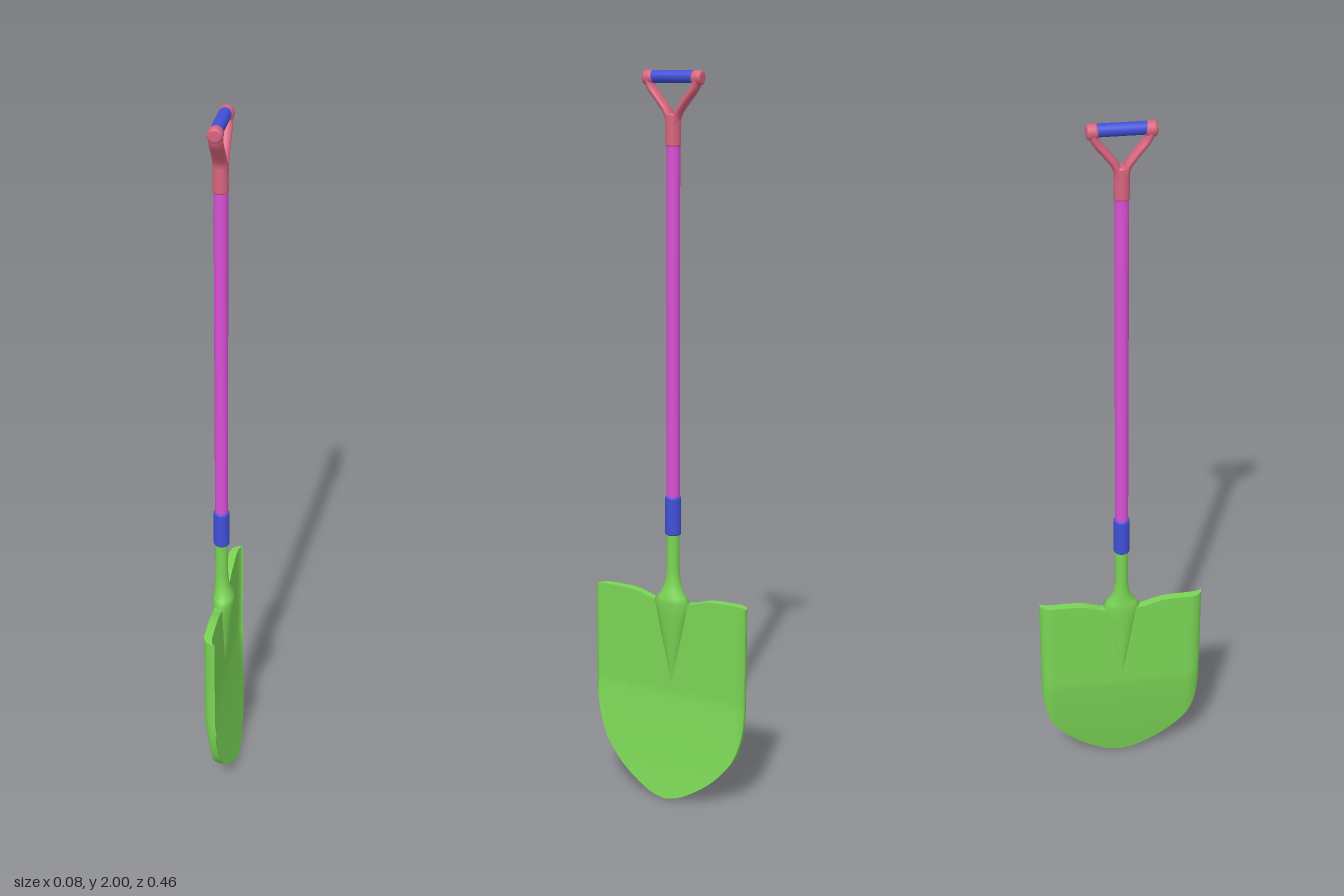
import * as THREE from 'three';
import { ParametricGeometry } from 'three/addons/geometries/ParametricGeometry.js';
import { mergeGeometries } from 'three/addons/utils/BufferGeometryUtils.js';

const AXIS = -0.017; // x of the shaft
const mat = (color) => new THREE.MeshStandardMaterial({ color });
const green = mat(0x7ad455), magenta = mat(0xd850d4), blue = mat(0x4050d8), pink = mat(0xd8647e);

function add(parent, name, geometry, material, x = 0, y = 0, z = 0) {
  const mesh = new THREE.Mesh(geometry, material);
  mesh.name = name;
  mesh.position.set(x, y, z);
  parent.add(mesh);
  return mesh;
}

// Closed round bar with softened ends, centred on its own y axis
function roundedBar(radius, length, soft) {
  const h = length / 2, pts = [new THREE.Vector2(0, -h)];
  for (const end of [-1, 1]) {
    for (let i = 0; i <= 5; i++) {
      const a = ((end < 0 ? i : 5 - i) / 5) * Math.PI / 2;
      pts.push(new THREE.Vector2(radius - soft + soft * Math.sin(a), end * (h - soft + soft * Math.cos(a))));
    }
  }
  pts.push(new THREE.Vector2(0, h));
  return new THREE.LatheGeometry(pts, 24);
}

// Half outline of the blade from the tip to the straight side (z, y)
const outline = new THREE.SplineCurve([
  [0, 0.003], [0.045, 0.014], [0.1, 0.045], [0.15, 0.085], [0.195, 0.14], [0.218, 0.195], [0.232, 0.265],
].map((p) => new THREE.Vector2(...p)));

// Point in the blade: a across (-1..1), t from top to bottom, w from back to front
function bladePoint(a, t, w, target) {
  const edge = outline.getPoint(Math.min(1, Math.abs(a)));
  const z = edge.x;
  const top = 0.595 - 0.02 * Math.exp(-(((z - 0.045) / 0.05) ** 2));
  const y = THREE.MathUtils.lerp(top, edge.y, t);
  const k = THREE.MathUtils.clamp((z - 0.195) / 0.037, 0, 1);
  const curl = 1 - Math.sqrt(1 - k * k);
  const bend = 0.045 * Math.pow(Math.max(0, (0.31 - y) / 0.31), 1.2);
  const x = w ? -0.007 + 0.012 * curl : -0.03 + 0.03 * curl;
  return target.set(x + bend, y, Math.sign(a) * z);
}

// Front, back and rim of the dished blade
function bladeGeometry() {
  const sheet = (f, nu, nv) => new ParametricGeometry((u, v, p) => bladePoint(...f(u, v), p), nu, nv);
  return mergeGeometries([
    sheet((u, v) => [2 * u - 1, v, 1], 64, 28),
    sheet((u, v) => [1 - 2 * u, v, 0], 64, 28),
    sheet((u, v) => [2 * u - 1, 0, Math.round(v)], 64, 1),
    sheet((u, v) => [1 - 2 * u, 1, Math.round(v)], 64, 1),
    sheet((u, v) => [1, 1 - v, Math.round(u)], 1, 28),
    sheet((u, v) => [-1, v, Math.round(u)], 1, 28),
  ]);
}

// Neck that flares into the blade and fades to a point: rows of [y, centre x, half x, half z]
function neckGeometry() {
  const rows = [
    [0.78, -0.017, 0.018, 0.018], [0.67, -0.017, 0.018, 0.018], [0.635, -0.016, 0.02, 0.021],
    [0.61, -0.013, 0.025, 0.03], [0.593, -0.011, 0.029, 0.04], [0.58, -0.011, 0.031, 0.052],
    [0.54, -0.012, 0.029, 0.044], [0.48, -0.014, 0.024, 0.033], [0.41, -0.017, 0.018, 0.019],
    [0.33, -0.018, 0.01, 0.004],
  ];
  const g = new THREE.CylinderGeometry(1, 1, 1, 32, rows.length - 1, true);
  const p = g.attributes.position;
  for (let i = 0; i < p.count; i++) {
    const [y, cx, rx, rz] = rows[Math.round((0.5 - p.getY(i)) * (rows.length - 1))];
    p.setXYZ(i, cx + rx * p.getX(i), y, rz * p.getZ(i));
  }
  g.computeVertexNormals();
  return g;
}

export function createModel() {
  const model = new THREE.Group();
  model.name = 'shovel';

  add(model, 'blade', bladeGeometry(), green);
  add(model, 'neck', neckGeometry(), green);
  add(model, 'collar', roundedBar(0.022, 0.108, 0.005), blue, AXIS, 0.822);
  add(model, 'shaft', new THREE.CylinderGeometry(0.018, 0.018, 1.0, 24), magenta, AXIS, 1.33);

  // D-shaped handle
  const handle = new THREE.Group();
  handle.name = 'handle';
  handle.position.x = AXIS;
  model.add(handle);
  add(handle, 'handleSocket', roundedBar(0.02, 0.085, 0.006), pink, 0, 1.85);
  for (const s of [-1, 1]) {
    const path = new THREE.CatmullRomCurve3([
      [0, 1.86, s * 0.007], [0, 1.89, s * 0.013], [0, 1.925, s * 0.038], [0, 1.955, s * 0.062], [0, 1.98, s * 0.071],
    ].map((p) => new THREE.Vector3(...p)));
    add(handle, 'handleArm', new THREE.TubeGeometry(path, 20, 0.0105, 16), pink).scale.x = 1.75;
    add(handle, 'gripEnd', roundedBar(0.0195, 0.029, 0.008), pink, 0, 1.9805, s * 0.07).rotation.x = Math.PI / 2;
  }
  add(handle, 'grip', new THREE.CylinderGeometry(0.016, 0.016, 0.13, 24), blue, 0, 1.983).rotation.x = Math.PI / 2;

  return model;
}
